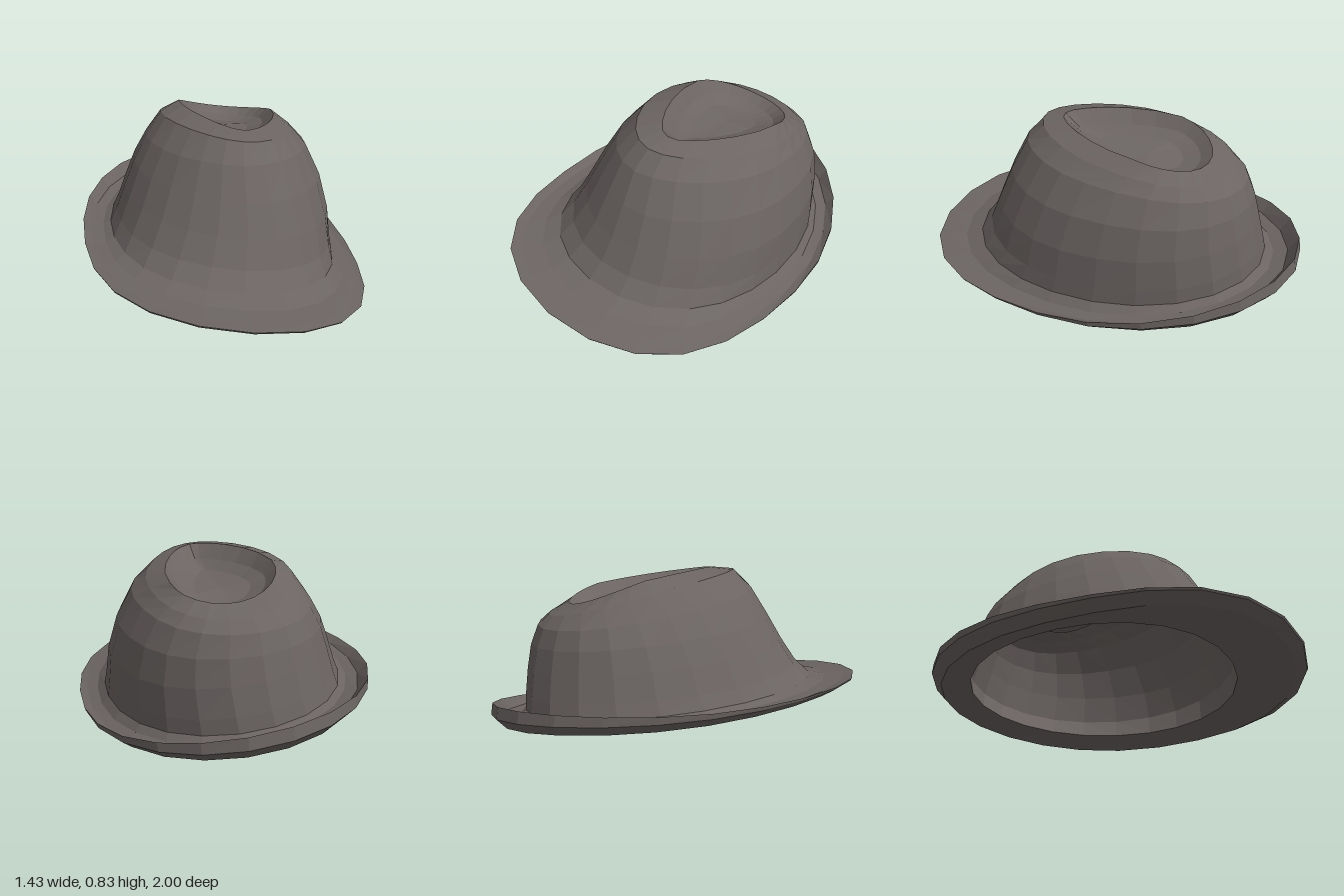
import * as THREE from 'three';

const SEGMENTS = 24;

// One tilted oval section. The oval is given by its extremes (left, right,
// front, back), the depth of its widest point, the height at each extreme,
// and how much the front and back halves taper (negative = blunter).
function ring([xMin, xMax, zFront, zBack, zMid, yMin, yMax, yFront, yBack, taper, backTaper = 0]) {
  const points = [];
  for (let i = 0; i < SEGMENTS; i++) {
    const a = (i / SEGMENTS) * Math.PI * 2;
    const c = Math.cos(a), s = Math.sin(a);
    const cn = c * (1 - (s > 0 ? taper : backTaper) * s * s);
    const x = (xMin + xMax) / 2 + ((xMax - xMin) / 2) * cn;
    const z = zMid + s * (s > 0 ? zFront - zMid : zMid - zBack);
    const y = ((yMax - yMin) / 2) * cn + ((yFront - yBack) / 2) * s
      + ((yMax + yMin) / 2) * c * c + ((yFront + yBack) / 2) * s * s;
    points.push(x, y, z);
  }
  return points;
}

// Skin a list of sections; an optional last point closes the surface.
function loft(sections, tip) {
  const positions = sections.flatMap(ring);
  const index = [];
  for (let r = 0; r < sections.length - 1; r++) {
    for (let i = 0; i < SEGMENTS; i++) {
      const j = (i + 1) % SEGMENTS;
      const a = r * SEGMENTS + i, b = r * SEGMENTS + j;
      const c = a + SEGMENTS, d = b + SEGMENTS;
      index.push(a, c, b, b, c, d);
    }
  }
  if (tip) {
    const base = (sections.length - 1) * SEGMENTS;
    positions.push(...tip);
    for (let i = 0; i < SEGMENTS; i++) {
      index.push(base + i, base + SEGMENTS, base + ((i + 1) % SEGMENTS));
    }
  }
  const geometry = new THREE.BufferGeometry();
  geometry.setAttribute('position', new THREE.Float32BufferAttribute(positions, 3));
  geometry.setIndex(index);
  const flat = geometry.toNonIndexed();
  flat.computeVertexNormals();
  return flat;
}

// Copy of a section moved inward and down, for the inside of the felt.
function inset([xMin, xMax, zFront, zBack, zMid, yMin, yMax, yFront, yBack, ...tapers], inward, down) {
  return [xMin + inward, xMax - inward, zFront - inward, zBack + inward, zMid,
    yMin - down, yMax - down, yFront - down, yBack - down, ...tapers];
}

export function createModel() {
  const group = new THREE.Group();
  group.name = 'hat';

  const felt = new THREE.MeshStandardMaterial({
    color: 0x6b6462, flatShading: true, side: THREE.DoubleSide,
  });
  felt.name = 'felt';

  const add = (name, sections, tip) => {
    const mesh = new THREE.Mesh(loft(sections, tip), felt);
    mesh.name = name;
    group.add(mesh);
  };

  const opening = [-0.555, 0.525, 0.66, -0.77, 0, 0.235, 0.05, 0.155, 0.16, -0.06];

  // Crown: flared base, leaning walls, rounded shoulder, rim of the crease
  const walls = [
    [-0.58, 0.59, 0.74, -0.825, 0, 0.265, 0.095, 0.225, 0.19, -0.12, -0.04],
    [-0.545, 0.585, 0.67, -0.815, -0.02, 0.33, 0.17, 0.30, 0.26, -0.05, -0.06],
    [-0.495, 0.575, 0.605, -0.79, -0.04, 0.45, 0.32, 0.42, 0.39, 0.02, -0.10],
    [-0.44, 0.535, 0.53, -0.765, -0.08, 0.57, 0.49, 0.57, 0.50, 0.07, -0.15],
    [-0.37, 0.465, 0.445, -0.73, -0.12, 0.685, 0.635, 0.72, 0.59, 0.12, -0.18],
    [-0.285, 0.405, 0.36, -0.67, -0.20, 0.785, 0.695, 0.805, 0.645, 0.17, -0.12],
  ];
  const rim = [-0.18, 0.33, 0.24, -0.56, -0.30, 0.815, 0.74, 0.82, 0.69, 0.30];

  // Teardrop crease pressed into the top
  const dent = [
    [-0.135, 0.275, 0.16, -0.50, -0.30, 0.75, 0.69, 0.755, 0.66, 0.6],
    [-0.07, 0.19, 0.04, -0.41, -0.28, 0.71, 0.67, 0.715, 0.65, 0.5],
  ];

  // Brim: flat underside, edge turned up at the back, top side to the crown
  add('brim', [
    opening,
    [-0.66, 0.66, 0.94, -0.95, 0, 0.22, 0.0, 0.16, 0.145, -0.24],
    [-0.715, 0.71, 0.995, -1.00, 0, 0.265, 0.03, 0.19, 0.20, -0.25],
    [-0.72, 0.715, 1.00, -0.99, 0, 0.285, 0.045, 0.20, 0.26, -0.25],
    [-0.675, 0.675, 0.95, -0.94, 0, 0.255, 0.04, 0.20, 0.19, -0.24],
    [-0.62, 0.625, 0.84, -0.87, 0, 0.25, 0.055, 0.20, 0.175, -0.18],
    walls[0],
  ]);
  add('crown', [...walls, rim]);
  add('crease', [rim, ...dent], [0.06, 0.685, -0.24]);

  // Inside of the felt, from the opening up to the underside of the crease
  add('lining', [
    opening,
    ...walls.slice(1).map((s) => inset(s, 0.02, 0.015)),
    inset(rim, 0.01, 0.02),
    ...dent.map((s) => inset(s, 0, 0.02)),
  ], [0.06, 0.665, -0.24]);

  return group;
}
